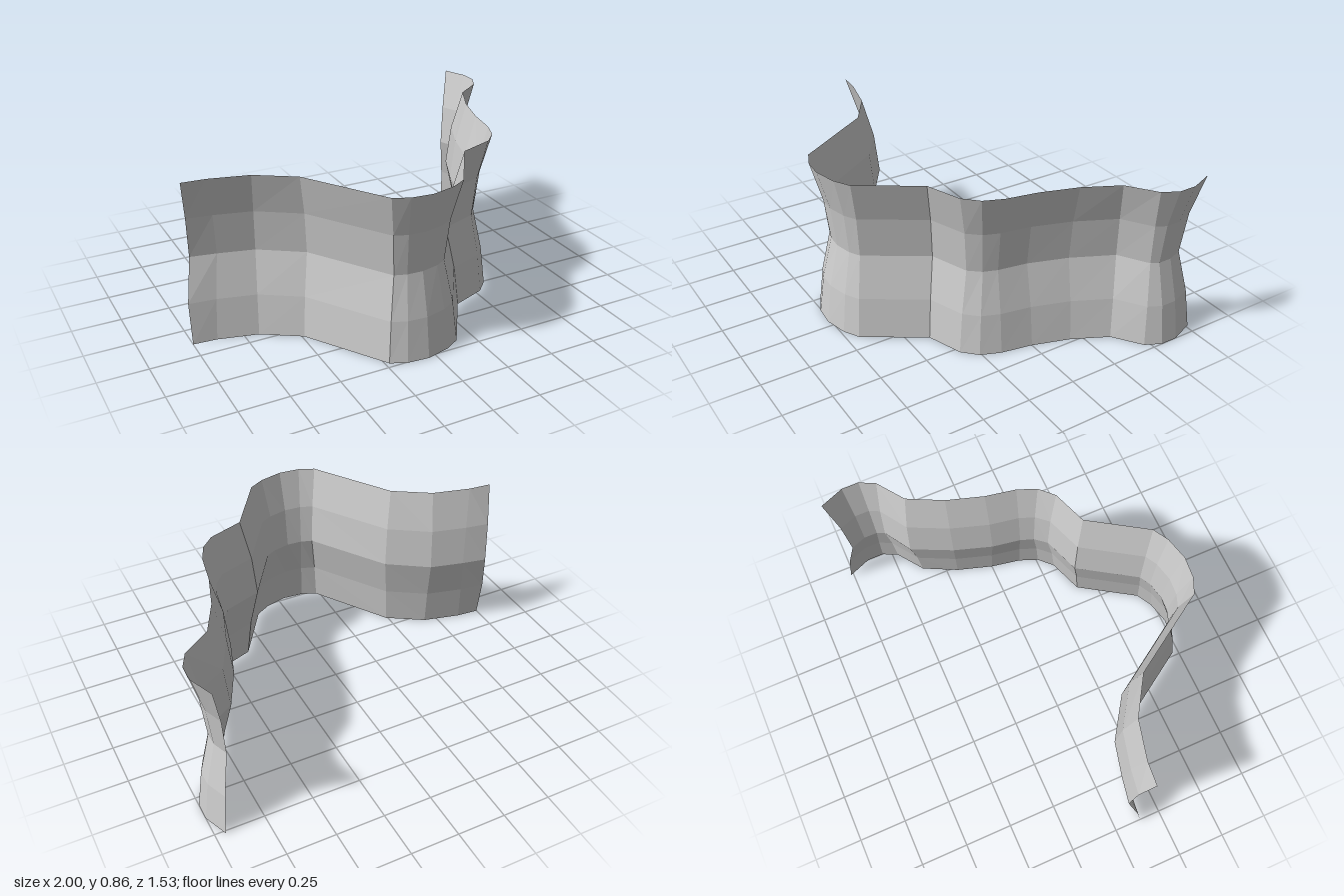
import * as THREE from 'three';

// Plan of the winding strip as [x, z]: rim line (top and bottom edges) and waist line (mid height)
const rim = [
  [-1, 0.14], [-0.88, 0.15], [-0.68, 0.2], [-0.49, 0.32], [-0.23, 0.72],
  [-0.15, 0.755], [-0.04, 0.765], [0.08, 0.735], [0.16, 0.69], [0.35, 0.395],
  [0.53, 0.33], [0.6, 0.26], [0.64, 0.16], [0.67, 0], [0.73, -0.19],
  [0.82, -0.37], [0.96, -0.47], [1, -0.55], [1, -0.64], [0.95, -0.765],
];
const waist = [
  [-0.96, 0.055], [-0.83, 0.08], [-0.65, 0.125], [-0.44, 0.265], [-0.18, 0.66],
  [-0.12, 0.68], [-0.04, 0.685], [0.05, 0.665], [0.105, 0.635], [0.295, 0.34],
  [0.49, 0.27], [0.54, 0.21], [0.565, 0.14], [0.59, -0.01], [0.655, -0.21],
  [0.755, -0.42], [0.9, -0.51], [0.92, -0.55], [0.92, -0.62], [0.89, -0.7],
];
// Rows from top to bottom: [height, blend from rim to waist]
const rows = [[0.855, 0], [0.645, 0.7], [0.43, 1], [0.21, 0.35], [0, 0]];

export function createModel() {
  const group = new THREE.Group();
  group.name = 'windingWall';

  // Bend a flat grid along the plan, pinched in at mid height
  const geometry = new THREE.PlaneGeometry(1, 1, rim.length - 1, rows.length - 1);
  const position = geometry.attributes.position;
  rows.forEach(([y, blend], r) => {
    rim.forEach(([x, z], c) => {
      const [wx, wz] = waist[c];
      position.setXYZ(
        r * rim.length + c,
        THREE.MathUtils.lerp(x, wx, blend),
        y,
        THREE.MathUtils.lerp(z, wz, blend),
      );
    });
  });
  // The lower left end stays flush with the rim
  position.setX(3 * rim.length, -1);
  geometry.computeVertexNormals();

  const material = new THREE.MeshStandardMaterial({
    color: 0xcccccc, flatShading: true, side: THREE.DoubleSide,
  });
  const wall = new THREE.Mesh(geometry, material);
  wall.name = 'wallStrip';
  group.add(wall);
  return group;
}
